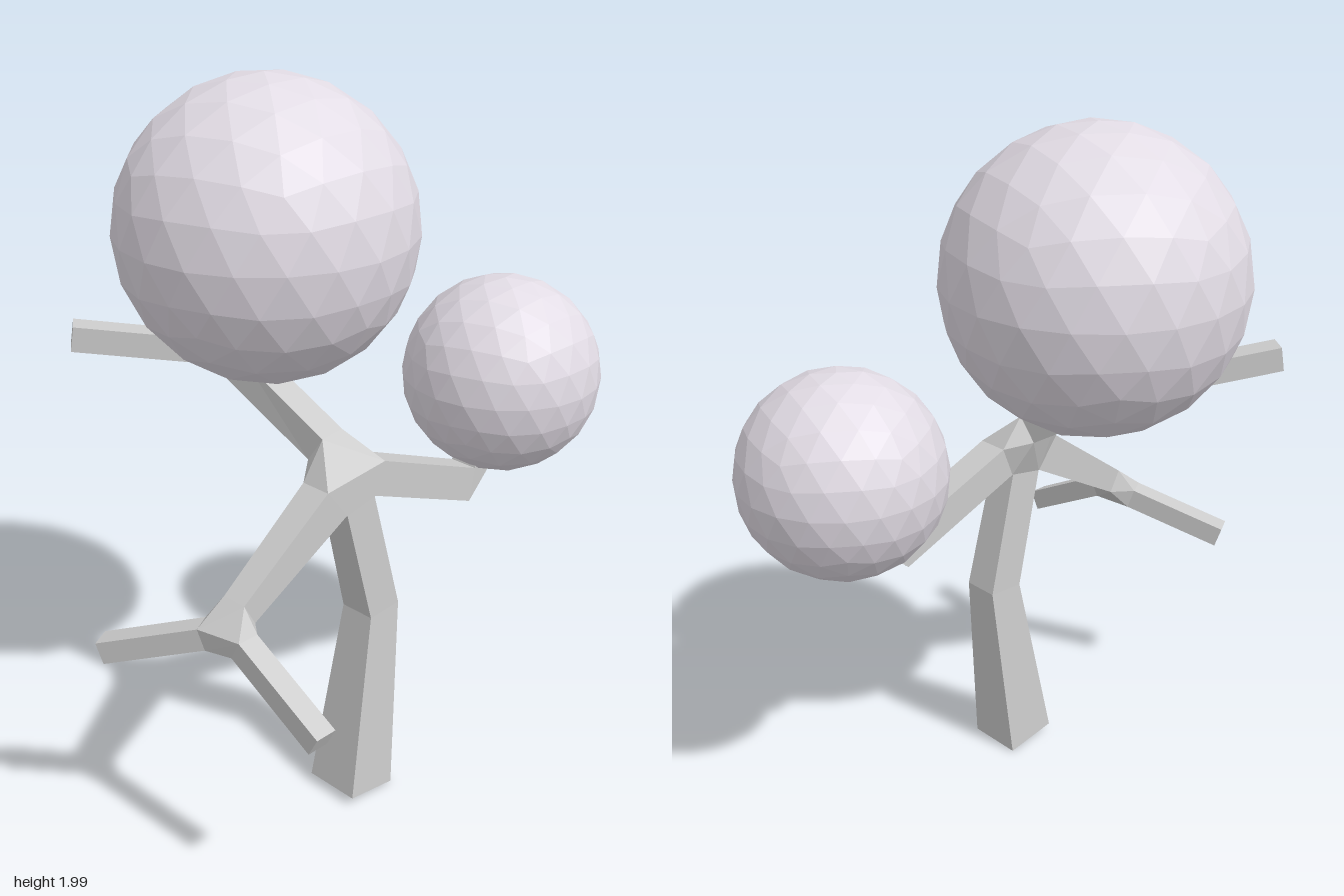
import * as THREE from 'three';
import { ConvexGeometry } from 'three/addons/geometries/ConvexGeometry.js';

const V = (x, y, z) => new THREE.Vector3(x, y, z);
const bark = new THREE.MeshStandardMaterial({ color: 0xcccccc, flatShading: true });
const leaf = new THREE.MeshStandardMaterial({ color: 0xe2dce5, flatShading: true });

// Four corners of a rectangular section across the direction dir
function ring(center, dir, w, h, hint) {
  const d = dir.clone().normalize();
  const s = (hint || V(0, 1, 0).cross(d)).clone();
  s.addScaledVector(d, -s.dot(d)).normalize();
  const v = d.clone().cross(s);
  return [[-1, -1], [1, -1], [1, 1], [-1, 1]].map(([a, b]) =>
    center.clone().addScaledVector(s, a * w / 2).addScaledVector(v, b * h / 2));
}

// Skin a row of sections and close both ends
function limbGeometry(rings) {
  const pos = rings.flat().flatMap(p => p.toArray());
  const idx = [0, 2, 1, 0, 3, 2];
  for (let r = 0; r < rings.length - 1; r++) {
    for (let i = 0; i < 4; i++) {
      const a = r * 4 + i, b = r * 4 + (i + 1) % 4;
      idx.push(a, b, b + 4, a, b + 4, a + 4);
    }
  }
  const e = (rings.length - 1) * 4;
  idx.push(e, e + 1, e + 2, e, e + 2, e + 3);
  const g = new THREE.BufferGeometry();
  g.setAttribute('position', new THREE.Float32BufferAttribute(pos, 3));
  g.setIndex(idx);
  const flat = g.toNonIndexed();
  flat.computeVertexNormals();
  return flat;
}

// Straight square twig sections from a to b
function twigRings(a, b, size, hint) {
  const d = b.clone().sub(a);
  return [ring(a, d, size, size, hint), ring(b, d, size, size, hint)];
}

export function createModel() {
  const tree = new THREE.Group();
  tree.name = 'tree';
  const add = (name, geometry, material = bark) => {
    const m = new THREE.Mesh(geometry, material);
    m.name = name;
    tree.add(m);
    return m;
  };
  const X = V(1, 0, 0);

  // Bent trunk
  const trunk = [
    ring(V(0.193, 0.018, 0.12), V(0, 1, -0.16), 0.165, 0.162, X),
    ring(V(0.193, 0.575, 0.045), V(0, 1, 0.06), 0.105, 0.11, X),
    ring(V(0.195, 0.93, 0.137), V(0, 1, 0.2), 0.09, 0.105, X),
  ];

  // Three main branches
  const front = [
    ring(V(0.195, 0.965, 0.225), V(0, -0.07, 0.09), 0.09, 0.114, X),
    ring(V(0.195, 0.765, 0.53), V(0, -0.05, 0.09), 0.075, 0.072, X),
  ];
  const back = [
    ring(V(0.195, 0.985, 0.065), V(0, -0.035, -0.09), 0.09, 0.097, X),
    ring(V(0.2, 0.832, -0.318), V(0, -0.02, -0.1), 0.085, 0.1, X),
    ring(V(0.2, 0.92, -0.39), V(0, 0.8, -0.6), 0.08, 0.09, X),
  ];
  const upper = [
    ring(V(0.13, 1.08, 0.16), V(-0.8, 0.55, 0.1), 0.085, 0.085),
    ring(V(-0.11, 1.23, 0.2), V(-0.8, 0.5, 0.15), 0.085, 0.085),
  ];

  // Twigs at the branch ends
  const twigs = {
    leftTwig: twigRings(V(0.26, 0.705, 0.575), V(0.533, 0.557, 0.575), 0.062),
    rightTwig: twigRings(V(0.14, 0.7, 0.6), V(-0.11, 0.607, 0.735), 0.062),
    upperTwig: twigRings(V(-0.2, 1.285, 0.25), V(-0.417, 1.343, 0.548), 0.068),
    crownStem: twigRings(V(-0.14, 1.3, 0.17), V(-0.14, 1.5, 0.1), 0.08, X),
  };

  add('trunk', limbGeometry(trunk));
  add('frontBranch', limbGeometry(front));
  add('backBranch', limbGeometry(back));
  add('upperBranch', limbGeometry(upper));
  for (const [name, rings] of Object.entries(twigs)) add(name, limbGeometry(rings));

  // Faceted joints where limbs meet
  const joint = (name, ...rings) => add(name, new ConvexGeometry(rings.flat()));
  joint('trunkJoint', trunk[2], front[0], back[0], upper[0]);
  joint('frontFork', front[1], twigs.leftTwig[0], twigs.rightTwig[0]);
  joint('upperFork', upper[1], twigs.upperTwig[0], twigs.crownStem[0]);

  // Round foliage, one corner of each ball pointing up
  const foliage = (name, r, x, y, z) => {
    const g = new THREE.IcosahedronGeometry(r, 3);
    g.rotateZ(Math.atan(2 / (1 + Math.sqrt(5))));
    add(name, g, leaf).position.set(x, y, z);
  };
  foliage('largeFoliage', 0.408, -0.145, 1.592, 0.1);
  foliage('smallFoliage', 0.284, 0.195, 1.117, -0.486);

  return tree;
}
